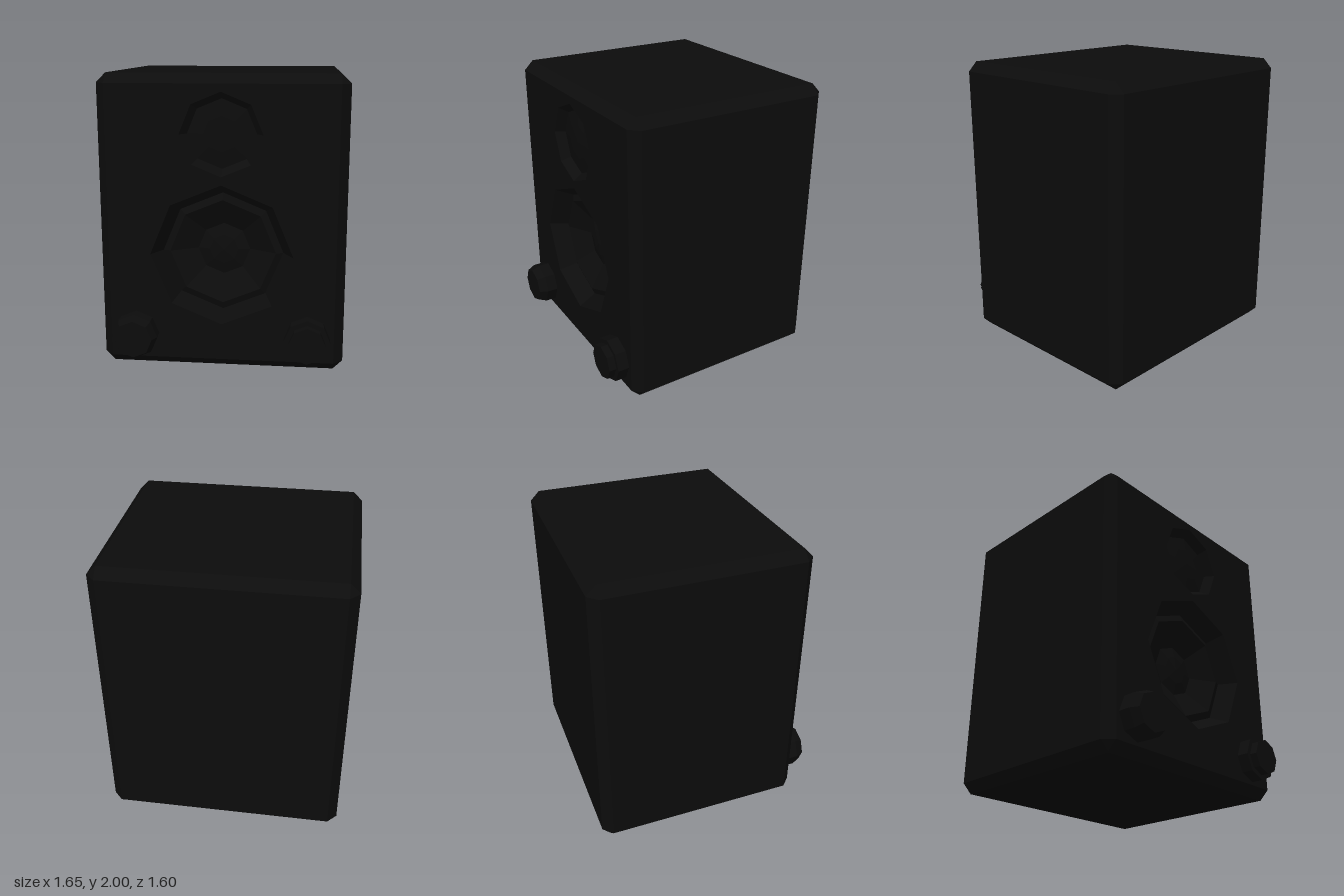
import * as THREE from 'three';

const W = 0.825, H = 1, C = 0.064, BACK = -0.8, FRONT = 0.66;
const black = new THREE.MeshStandardMaterial({ color: 0x0c0c0c, flatShading: true });
black.name = 'matte black';

const octagon = (x, y, r) => Array.from({ length: 8 }, (_, i) => {
  const a = i * Math.PI / 4;
  return new THREE.Vector2(x + r * Math.cos(a), y + r * Math.sin(a));
});

function add(group, name, geometry) {
  const mesh = new THREE.Mesh(geometry, black);
  mesh.name = name;
  group.add(mesh);
}

// Eight-sided turned part facing forward; profile of [radius, depth] from rim to centre
function turned(group, name, x, y, profile) {
  const geometry = new THREE.LatheGeometry(profile.map(([r, z]) => new THREE.Vector2(r, z)), 8);
  geometry.rotateX(Math.PI / 2).translate(x, y, FRONT);
  add(group, name, geometry);
}

// Cabinet shell: loops of eight corners, chamfered on every edge, closed at the back
function shellGeometry() {
  const section = (w, h, c, z) => [
    [w, -h + c], [w, h - c], [w - c, h], [-w + c, h],
    [-w, h - c], [-w, -h + c], [-w + c, -h], [w - c, -h],
  ].map(([x, y]) => [x, y + H, z]);
  const loops = [
    section(W - C, H - C, 0, BACK),
    section(W, H, C, BACK + C),
    section(W, H, C, FRONT - C),
    section(W - C, H - C, 0, FRONT),
  ];
  const pos = [];
  for (let s = 0; s < 3; s++) {
    for (let i = 0; i < 8; i++) {
      const j = (i + 1) % 8;
      const [a, b, c, d] = [loops[s][i], loops[s][j], loops[s + 1][j], loops[s + 1][i]];
      pos.push(...a, ...b, ...c, ...a, ...c, ...d);
    }
  }
  for (let i = 1; i < 7; i++) pos.push(...loops[0][0], ...loops[0][i + 1], ...loops[0][i]);
  const geometry = new THREE.BufferGeometry();
  geometry.setAttribute('position', new THREE.Float32BufferAttribute(pos, 3));
  geometry.computeVertexNormals();
  return geometry;
}

// Front panel with openings for both drivers
function baffleGeometry() {
  const w = W - C;
  const shape = new THREE.Shape([[-w, C], [w, C], [w, 2 * H - C], [-w, 2 * H - C]]
    .map(([x, y]) => new THREE.Vector2(x, y)));
  shape.holes.push(new THREE.Path(octagon(0, 0.8, 0.49)), new THREE.Path(octagon(0, 1.61, 0.28)));
  return new THREE.ShapeGeometry(shape).translate(0, 0, FRONT);
}

export function createModel() {
  const group = new THREE.Group();
  group.name = 'speaker';
  add(group, 'cabinet', shellGeometry());
  add(group, 'frontPanel', baffleGeometry());

  // Drivers: sloped recess, raised surround, cone and dust cap
  turned(group, 'woofer', 0, 0.8,
    [[0.5, 0.003], [0.48, 0.003], [0.41, -0.12], [0.36, -0.1], [0.18, -0.2], [0.1, -0.18], [0, -0.17]]);
  turned(group, 'tweeter', 0, 1.61,
    [[0.29, 0.003], [0.275, 0.003], [0.23, -0.06], [0.12, -0.045], [0, -0.04]]);

  // Controls along the bottom
  turned(group, 'volumeKnob', -0.585, 0.24, [[0.155, 0], [0.155, 0.08], [0.128, 0.138], [0, 0.138]]);
  turned(group, 'steppedKnob', 0.58, 0.24,
    [[0.155, 0], [0.155, 0.08], [0.122, 0.08], [0.122, 0.13], [0, 0.13]]);
  return group;
}
